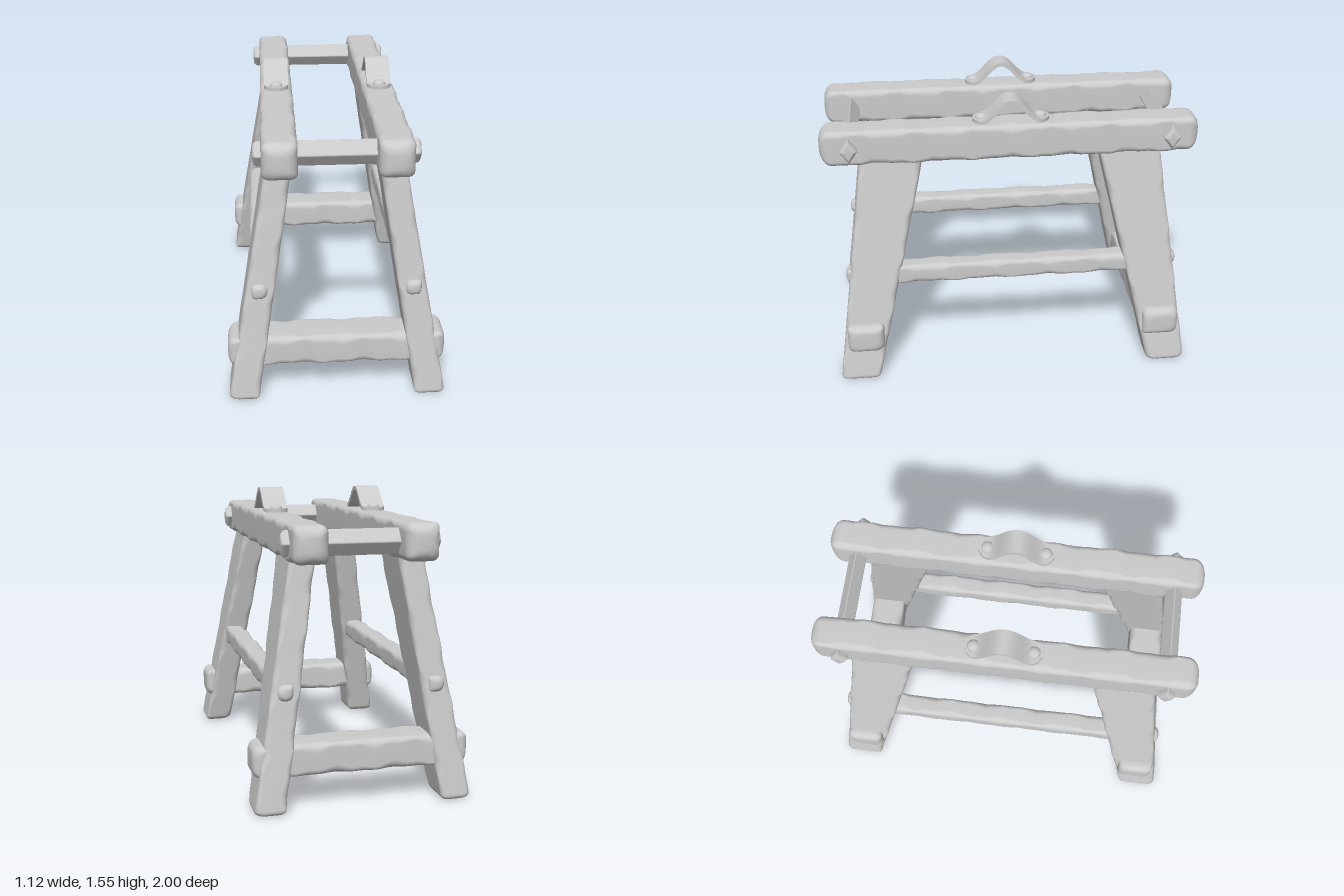
import * as THREE from 'three';

const material = new THREE.MeshStandardMaterial({ color: 0xcccccc, side: THREE.DoubleSide });
const lerp = THREE.MathUtils.lerp;

// Hewn timber running from y0 to y1: rounded-rectangle rings with worn, uneven corners.
// section(t) gives the centre (cx, cz) and half sizes (hx, hz) of a ring.
function timber(y0, y1, section, radius, endRadius, wear = 0, seed = 0) {
  const heights = [];
  const roundSteps = 6, middleSteps = 36, cornerSteps = 4;
  const endHeights = [];
  for (let i = 0; i <= roundSteps; i++) {
    endHeights.push(endRadius * (1 - Math.cos((i / roundSteps) * Math.PI / 2)));
  }
  endHeights.forEach(d => heights.push(y0 + d));
  for (let i = 1; i < middleSteps; i++) {
    heights.push(lerp(y0 + endRadius, y1 - endRadius, i / middleSteps));
  }
  endHeights.reverse().forEach(d => heights.push(y1 - d));

  const positions = [], index = [];
  const count = 4 * (cornerSteps + 1);
  for (const y of heights) {
    const { cx = 0, cz = 0, hx, hz } = section((y - y0) / (y1 - y0));
    const d = Math.min(y - y0, y1 - y, endRadius);
    const inset = endRadius - Math.sqrt(Math.max(0, endRadius ** 2 - (endRadius - d) ** 2));
    const ax = Math.max(hx - inset, 0.008), az = Math.max(hz - inset, 0.008);
    for (let c = 0; c < 4; c++) {
      const wave = Math.sin(y * 19 + c * 2.3 + seed) + 0.7 * Math.sin(y * 43 + c * 4.1 + seed * 2);
      const r = Math.min(radius * (1 + wear * wave), ax * 0.95, az * 0.95);
      const sx = c === 0 || c === 3 ? 1 : -1, sz = c < 2 ? 1 : -1;
      for (let k = 0; k <= cornerSteps; k++) {
        const a = (c + k / cornerSteps) * Math.PI / 2;
        positions.push(cx + sx * (ax - r) + r * Math.cos(a), y, cz + sz * (az - r) + r * Math.sin(a));
      }
    }
  }
  const rings = heights.length;
  for (let i = 0; i < rings - 1; i++) {
    for (let j = 0; j < count; j++) {
      const n = (j + 1) % count, a = i * count, b = a + count;
      index.push(a + j, b + j, a + n, a + n, b + j, b + n);
    }
  }
  // End caps
  const s0 = section(0), s1 = section(1);
  const low = rings * count, high = low + 1, last = (rings - 1) * count;
  positions.push(s0.cx || 0, y0, s0.cz || 0, s1.cx || 0, y1, s1.cz || 0);
  for (let j = 0; j < count; j++) {
    const n = (j + 1) % count;
    index.push(low, j, n, high, last + n, last + j);
  }
  const geometry = new THREE.BufferGeometry();
  geometry.setAttribute('position', new THREE.Float32BufferAttribute(positions, 3));
  geometry.setIndex(index);
  geometry.computeVertexNormals();
  return geometry;
}

// Bent strap: a flat strip with rounded ends, arched in the middle
function strapGeometry() {
  const halfLength = 0.2, tip = 0.065;
  const height = z => (Math.abs(z) < 0.16 ? 0.054 * (1 + Math.cos(Math.PI * z / 0.16)) : 0);
  const geometry = new THREE.BoxGeometry(0.13, 0.02, 2 * halfLength, 4, 1, 64);
  const p = geometry.attributes.position;
  for (let i = 0; i < p.count; i++) {
    const z = p.getZ(i), offset = p.getY(i);
    const slope = (height(z + 0.001) - height(z - 0.001)) / 0.002;
    const length = Math.hypot(1, slope);
    const d = THREE.MathUtils.clamp(halfLength - Math.abs(z), 0, tip);
    const width = Math.max(0.25, Math.sqrt(1 - (1 - d / tip) ** 2));
    p.setXYZ(i, p.getX(i) * width, height(z) + offset / length, z - offset * slope / length);
  }
  geometry.computeVertexNormals();
  return geometry;
}

export function createModel() {
  const model = new THREE.Group();
  const add = (name, geometry, x = 0, y = 0, z = 0) => {
    const mesh = new THREE.Mesh(geometry, material);
    mesh.name = name;
    mesh.position.set(x, y, z);
    model.add(mesh);
    return mesh;
  };

  for (const sx of [-1, 1]) {
    const side = sx > 0 ? 'left' : 'right';

    // Top rail
    const rail = timber(-1, 1, () => ({ hx: 0.087, hz: 0.095 }), 0.032, 0.06, 0.3, sx);
    add(side + 'TopRail', rail.rotateX(Math.PI / 2), sx * 0.278, 1.325, 0);

    // Long stretcher with slimmer ends pegged through the legs
    const stretcher = timber(-0.91, 0.91, t => {
      const h = Math.abs(t - 0.5) > 0.44 ? 0.042 : 0.054;
      return { hx: h, hz: h };
    }, 0.027, 0.03, 0.3, sx + 4);
    add(side + 'LongStretcher', stretcher.rotateX(Math.PI / 2), sx * 0.39, 0.597, 0);

    // Strap and its rivets
    add(side + 'Strap', strapGeometry(), sx * 0.277, 1.432, 0);
    for (const sz of [-1, 1]) {
      const rivet = new THREE.SphereGeometry(0.033, 16, 10);
      add(side + 'StrapRivet', rivet, sx * 0.277, 1.442, sz * 0.155).scale.y = 0.65;
    }

    // Splayed legs, wider at the top
    for (const sz of [-1, 1]) {
      const leg = timber(0, 1.3, t => ({
        cx: sx * lerp(0.485, 0.27, t),
        cz: sz * lerp(0.867, 0.622, t),
        hx: lerp(0.079, 0.066, t),
        hz: lerp(0.107, 0.168, t),
      }), 0.026, 0.03, 0.35, sx * 2 + sz);
      add((sz > 0 ? 'front' : 'back') + (sx > 0 ? 'Left' : 'Right') + 'Leg', leg);
    }
  }

  for (const sz of [-1, 1]) {
    const end = sz > 0 ? 'front' : 'back';

    // Low cross stretcher
    const plank = timber(-0.56, 0.56, () => ({ hx: 0.082, hz: 0.1 }), 0.032, 0.04, 0.3, sz + 7);
    add(end + 'CrossStretcher', plank.rotateZ(Math.PI / 2), 0, 0.258, sz * 0.822);

    // Diamond-section bar between the rails
    const bar = timber(-0.405, 0.405, () => ({ hx: 0.048, hz: 0.048 }), 0.007, 0.025);
    bar.rotateY(Math.PI / 4).scale(1, 1, 0.7).rotateZ(Math.PI / 2);
    add(end + 'TopBar', bar, 0, 1.324, sz * 0.847);
  }

  return model;
}
